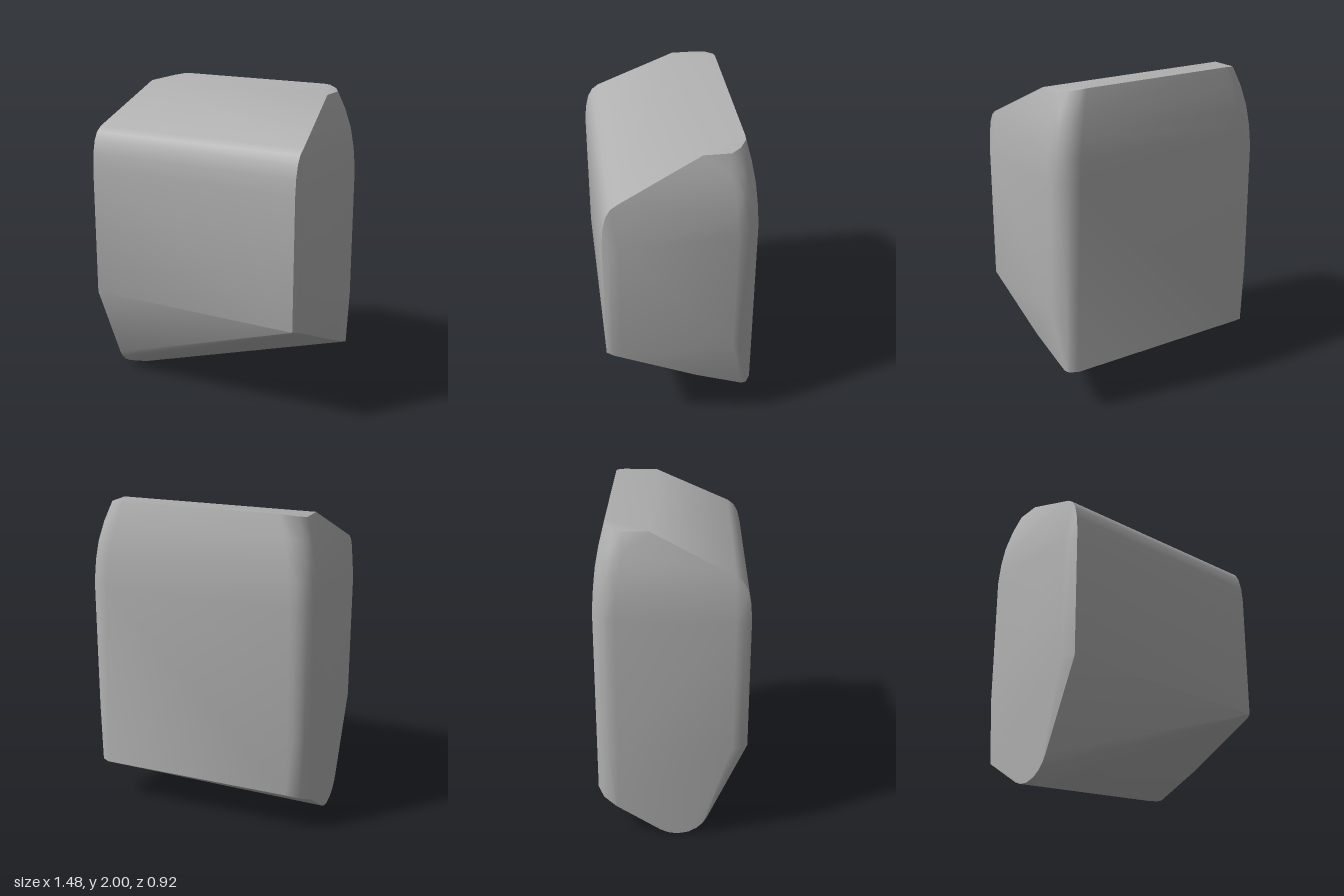
import * as THREE from 'three';
import { ConvexGeometry } from 'three/addons/geometries/ConvexGeometry.js';
import { toCreasedNormals } from 'three/addons/utils/BufferGeometryUtils.js';

const points = [];
const add = (x, y, z) => points.push(new THREE.Vector3(x, y, z));
const addBoth = (x, y, z) => { add(x, y, z); add(-x, y, z); };

export function createModel() {
  points.length = 0;

  // Rounded back corners: height, half width, back z, for one side or both
  const backCorner = (place, y, w, back, r = 0.14) => {
    for (let i = 0; i <= 6; i++) {
      const a = (i / 6) * Math.PI / 2;
      place(w - r + r * Math.cos(a), y, back + r - r * Math.sin(a));
    }
  };
  for (const [y, w, back] of [[0.64, 0.74, -0.46], [1.48, 0.74, -0.46], [1.62, 0.73, -0.45],
    [1.74, 0.712, -0.437], [1.86, 0.68, -0.415]]) backCorner(addBoth, y, w, back);

  // Top ridge and shoulders
  for (const p of [[0.5, 2, -0.38], [0.54, 1.997, -0.375], [0.6, 1.985, -0.335],
    [0.635, 1.975, -0.28], [0.635, 1.975, -0.12]]) addBoth(...p);

  // Front edge, curving back into the sloping top
  for (const [y, z] of [[0.65, 0.46], [1.48, 0.46], [1.58, 0.452], [1.66, 0.433],
    [1.71, 0.405], [1.74, 0.365]]) addBoth(0.71, y, z);
  for (const y of [0.64, 1.46]) {
    addBoth(0.74, y, 0.37);
    addBoth(0.731, y, 0.42);
  }

  // Slanted lower edge on the left side
  add(0.7, 0.27, -0.4);
  add(0.69, 0.27, -0.43);
  add(0.64, 0.27, -0.46);
  add(0.722, 0.4, -0.1);

  // Lower back corner on the right side
  add(-0.6, 0.27, -0.46);
  add(-0.68, 0.245, -0.42);
  add(-0.73, 0.21, -0.34);

  // Rounded low tip on the right side
  for (const [z, y] of [[0.22, 0.12], [0.195, 0.08], [0.16, 0.045], [0.11, 0.015],
    [0.04, 0], [-0.02, 0.008], [-0.07, 0.03]]) add(-0.722, y, z);
  add(-0.63, 0, 0.04);

  const material = new THREE.MeshStandardMaterial({ color: 0xb0b0b0 });
  material.name = 'grey';
  const body = new THREE.Mesh(toCreasedNormals(new ConvexGeometry(points), 0.55), material);
  body.name = 'body';

  const model = new THREE.Group();
  model.name = 'facetedBlock';
  model.add(body);
  return model;
}
